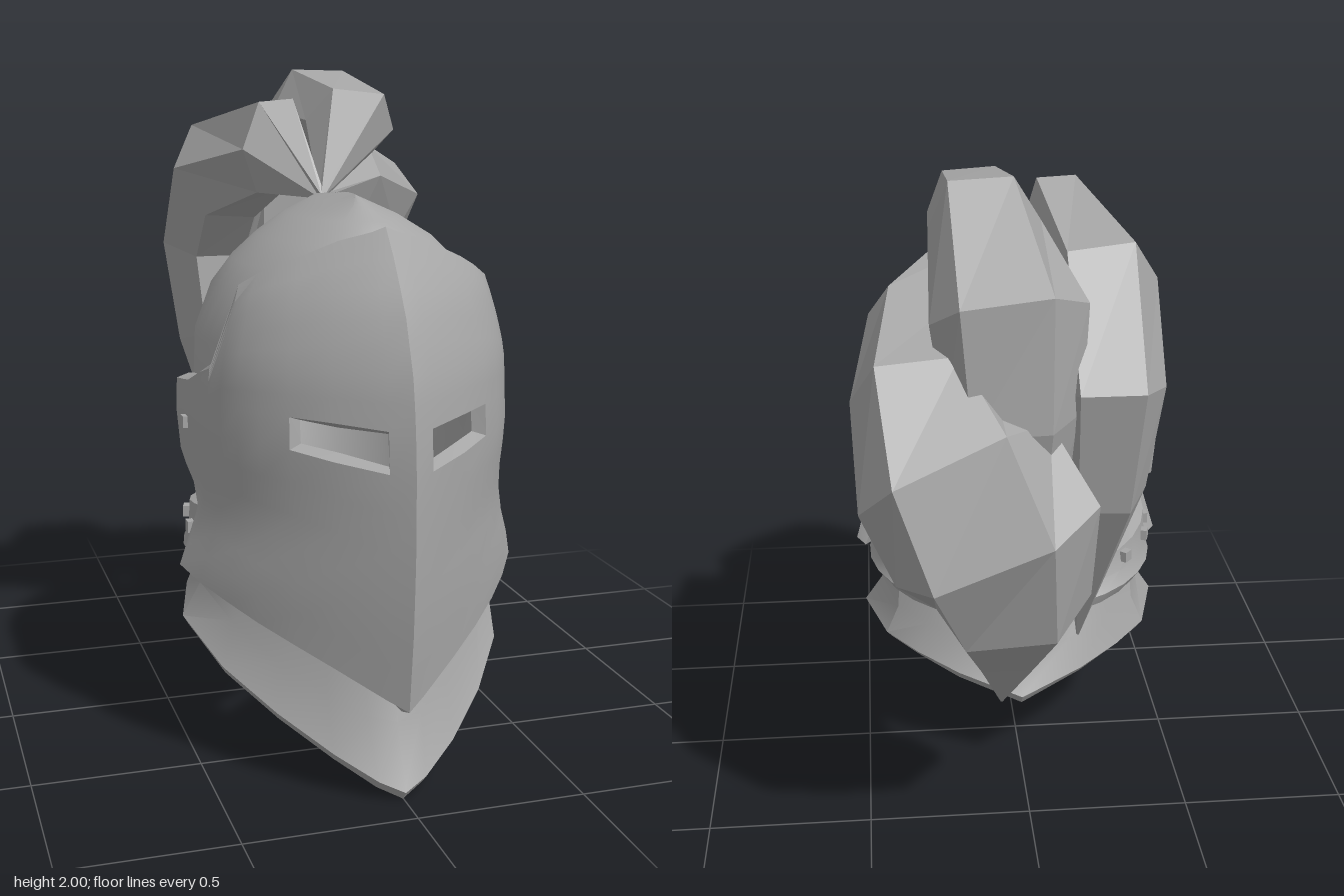
import * as THREE from 'three';
import { toCreasedNormals } from 'three/addons/utils/BufferGeometryUtils.js';

const steel = new THREE.MeshStandardMaterial({ color: 0xa6a6a6, side: THREE.DoubleSide });
steel.name = 'steel grey';

// Piecewise-linear lookup in a list of [key, value]
function lut(table, k) {
  if (k <= table[0][0]) return table[0][1];
  for (let i = 1; i < table.length; i++) {
    const [k0, v0] = table[i - 1], [k1, v1] = table[i];
    if (k <= k1) return v0 + (v1 - v0) * (k - k0) / (k1 - k0);
  }
  return table[table.length - 1][1];
}

// Plate from a grid of points (columns left to right, rows bottom to top),
// thickened inwards with a slanted rim along every open edge
function plate(cols, thickness, closed = false, skip = () => false) {
  const n = cols.length, m = cols[0].length, tris = [];
  const id = (i, j) => (i % n) * m + j;
  for (let i = 0; i < (closed ? n : n - 1); i++) {
    for (let j = 0; j < m - 1; j++) {
      if (skip(i, j)) continue;
      const a = id(i, j), b = id(i + 1, j), c = id(i + 1, j + 1), d = id(i, j + 1);
      tris.push([a, b, c], [a, c, d]);
    }
  }
  const geo = new THREE.BufferGeometry();
  const outer = cols.flat(2);
  geo.setAttribute('position', new THREE.Float32BufferAttribute(outer, 3));
  geo.setIndex(tris.flat());
  if (thickness > 0) {
    geo.computeVertexNormals();
    const count = n * m, all = tris.flat(), edges = new Set();
    const at = k => new THREE.Vector3().fromArray(outer, k * 3);
    const normal = k => new THREE.Vector3().fromBufferAttribute(geo.attributes.normal, k);
    const slant = Array.from({ length: count }, () => new THREE.Vector3());
    tris.forEach(t => t.forEach((a, k) => edges.add(a + '_' + t[(k + 1) % 3])));
    tris.forEach(([a, b, c]) => all.push(a + count, c + count, b + count));
    for (const e of edges) {
      const [a, b] = e.split('_').map(Number);
      if (edges.has(b + '_' + a)) continue;
      all.push(b, a, a + count, b, a + count, b + count);
      for (const k of [a, b]) slant[k].add(at(b).sub(at(a)).normalize().cross(normal(k)));
    }
    const inner = slant.flatMap((s, k) => at(k).addScaledVector(normal(k), -thickness)
      .addScaledVector(s.normalize(), 0.016).toArray());
    geo.setAttribute('position', new THREE.Float32BufferAttribute(outer.concat(inner), 3));
    geo.deleteAttribute('normal');
    geo.setIndex(all);
  }
  return toCreasedNormals(geo, 0.6);
}

// Visor: ridge depth, half width and plan roundness by height
const ridgeZ = [[0.27, 0.92], [0.5, 0.945], [0.7, 0.955], [1, 0.95], [1.2, 0.92], [1.37, 0.85], [1.5, 0.76], [1.59, 0.68]];
const visorW = [[0.27, 0.54], [0.57, 0.53], [0.7, 0.485], [0.8, 0.465], [1, 0.48], [1.2, 0.475], [1.3, 0.455], [1.42, 0.42], [1.5, 0.36], [1.59, 0.26]];
const roundness = [[0.5, 1.75], [0.9, 2.25]];
function visorPoint(t, y, side) {
  const z = 0.3 + t * (t > 0 ? lut(ridgeZ, y) - 0.3 : 0.65);
  const x = lut(visorW, y) * (1 - Math.pow(Math.max(t, 0), lut(roundness, y)));
  return [side * x, y, z];
}
function visorGeometry() {
  // Per column: bottom t, bottom y, t at the eye slit, top t, top y
  const half = [
    [1, 0.27, 1, 1, 1.59], [0.94, 0.3, 0.94, 0.94, 1.575], [0.8, 0.37, 0.8, 0.8, 1.55],
    [0.664, 0.425, 0.664, 0.664, 1.51], [0.53, 0.47, 0.55, 0.57, 1.485], [0.4, 0.51, 0.45, 0.47, 1.455],
    [0.25, 0.545, 0.35, 0.385, 1.42], [0.09, 0.57, 0.25, 0.27, 1.18], [0.115, 0.75, 0.13, 0.18, 1.16],
    [0, 0.805, 0, 0, 1.115], [-0.14, 0.835, -0.14, -0.14, 1.1], [-0.245, 0.87, -0.26, -0.245, 1.09],
  ];
  const column = ([tb, yb, ts, tt, yt], side) => {
    const low = Math.min(0.945 + 0.15 * (1 - ts), 0.995);
    const high = Math.min(1.065 + 0.08 * (1 - ts), 1.085, yt - 0.05);
    const pts = [];
    for (let k = 0; k <= 6; k++) pts.push(visorPoint(tb + (ts - tb) * k / 6, yb + (low - yb) * k / 6, side));
    for (let k = 0; k <= 7; k++) pts.push(visorPoint(ts + (tt - ts) * k / 7, high + (yt - high) * k / 7, side));
    return pts;
  };
  const left = half.map(h => column(h, 1));
  const right = half.slice(1).reverse().map(h => column(h, -1));
  const c = right.length; // ridge column
  const slit = (i, j) => j === 6 && [c + 1, c + 2, c - 2, c - 3].includes(i);
  return plate([...right, ...left], 0.04, false, slit);
}

// Skull: stacked oval rings closing on a ridge, open at the face
function skullGeometry() {
  // height, half width, back z, front z
  const rings = [
    [0.58, 0.43, -0.16, 0.82], [0.7, 0.43, -0.18, 0.83], [0.85, 0.435, -0.215, 0.83], [1.05, 0.445, -0.26, 0.83],
    [1.24, 0.435, -0.25, 0.8], [1.38, 0.385, -0.19, 0.75], [1.46, 0.325, -0.13, 0.7], [1.53, 0.25, -0.06, 0.65],
    [1.59, 0.155, 0.0, 0.55], [1.63, 0.065, 0.08, 0.47], [1.655, 0, 0.33, 0.41],
  ];
  const N = 40, cols = [];
  for (let i = 0; i < N; i++) {
    const a = i / N * Math.PI * 2;
    cols.push(rings.map(([y, w, b, f]) => [w * Math.sin(a), y, (f + b) / 2 + (f - b) / 2 * Math.cos(a)]));
  }
  const face = (i, j) => j < 5 && Math.cos((i + 0.5) / N * Math.PI * 2) > 0.6;
  return plate(cols, 0, true, face);
}

// Neck guard: flared collar, rounded in plan and dipping at front and back
function collarGeometry() {
  const rows = [
    [[0, 0.02, 0.9], [0.07, 0.05, 0.875], [0.18, 0.115, 0.8], [0.31, 0.2, 0.67], [0.43, 0.29, 0.5], [0.5, 0.375, 0.27], [0.43, 0.385, 0], [0.33, 0.36, -0.1], [0.2, 0.32, -0.18], [0, 0.265, -0.26]],
    [[0, 0.2, 0.82], [0.08, 0.22, 0.8], [0.18, 0.27, 0.73], [0.29, 0.33, 0.61], [0.39, 0.41, 0.45], [0.44, 0.47, 0.25], [0.39, 0.48, 0], [0.29, 0.46, -0.09], [0.17, 0.42, -0.15], [0, 0.37, -0.19]],
    [[0, 0.44, 0.78], [0.08, 0.46, 0.76], [0.17, 0.51, 0.69], [0.27, 0.56, 0.57], [0.36, 0.6, 0.44], [0.42, 0.61, 0.25], [0.38, 0.61, 0.02], [0.28, 0.6, -0.06], [0.16, 0.6, -0.1], [0, 0.6, -0.13]],
  ];
  const half = rows[0].map((_, i) => rows.map(r => r[i]));
  const mirrored = half.slice(1, -1).reverse().map(c => c.map(([x, y, z]) => [-x, y, z]));
  return plate([...half, ...mirrored], 0.03, true);
}

// Riveted band round the back of the neck
function bandGeometry() {
  const cols = [], a0 = 1.3, N = 18;
  for (let i = 0; i <= N; i++) {
    const a = a0 + (Math.PI * 2 - 2 * a0) * i / N, s = Math.sin(a), c = Math.cos(a);
    cols.push([
      [0.48 * s, 0.575, 0.25 + 0.5 * c],
      [0.465 * s, 0.61, 0.25 + 0.46 * c],
      [0.46 * s, 0.725 + 0.065 * c, 0.25 + 0.44 * c],
    ]);
  }
  return plate(cols, 0.035);
}

// Plume feather: faceted six-sided loft through [x, y, z, half width, half depth]
function featherGeometry(path) {
  const pts = path.map(p => new THREE.Vector3(p[0], p[1], p[2]));
  const outline = [[-1, 0], [-0.5, 1], [0.65, 1], [1, 0], [0.5, -1], [-0.5, -1]];
  const n = outline.length, pos = [], idx = [];
  path.forEach(([, , , w, h], k) => {
    const dir = pts[Math.min(k + 1, pts.length - 1)].clone().sub(pts[Math.max(k - 1, 0)]).normalize();
    const side = new THREE.Vector3(1, 0, 0).addScaledVector(dir, -dir.x).normalize();
    const up = side.clone().cross(dir);
    outline.forEach(([u, v]) => pos.push(...pts[k].clone().addScaledVector(side, u * w).addScaledVector(up, v * h).toArray()));
    if (k === 0) return;
    for (let i = 0; i < n; i++) {
      const a = (k - 1) * n + i, b = (k - 1) * n + (i + 1) % n;
      idx.push(a, b, b + n, a, b + n, a + n);
    }
  });
  const geo = new THREE.BufferGeometry();
  geo.setAttribute('position', new THREE.Float32BufferAttribute(pos, 3));
  geo.setIndex(idx);
  const flat = geo.toNonIndexed();
  flat.computeVertexNormals();
  return flat;
}

export function createModel() {
  const model = new THREE.Group();
  model.name = 'plumedHelmet';
  const add = (name, geo) => {
    const mesh = new THREE.Mesh(geo, steel);
    mesh.name = name;
    model.add(mesh);
    return mesh;
  };
  add('skull', skullGeometry());
  add('visor', visorGeometry());
  add('neckGuard', collarGeometry());
  add('neckBand', bandGeometry());

  // Rivets on the band and the visor pivots
  const rivet = new THREE.BoxGeometry(0.035, 0.035, 0.03);
  for (const side of [-1, 1]) {
    for (const [z, y] of [[0.26, 0.655], [0.11, 0.66], [-0.04, 0.655], [-0.155, 0.64]]) {
      const c = (z - 0.25) / 0.455, s = Math.sqrt(1 - c * c);
      const r = add('bandRivet', rivet);
      r.position.set(side * 0.466 * s, y, z);
      r.rotation.y = Math.atan2(side * s / 0.46, c / 0.45);
    }
    const pivot = add('pivotRivet', rivet);
    pivot.position.set(side * 0.478, 0.985, 0.275);
    pivot.rotation.y = side * Math.PI / 2;
  }

  // Plume of three curling feathers
  add('centreFeather', featherGeometry([
    [0, 1.62, 0.08, 0.01, 0.01], [0.13, 1.83, -0.05, 0.14, 0.12], [0.12, 1.86, -0.37, 0.16, 0.14],
    [0.07, 1.67, -0.61, 0.22, 0.14], [0.06, 1.38, -0.62, 0.19, 0.13], [0.05, 1.02, -0.55, 0.13, 0.11],
    [0.03, 0.67, -0.52, 0.005, 0.005],
  ]));
  add('rightFeather', featherGeometry([
    [0, 1.62, 0.08, 0.01, 0.01], [-0.13, 1.77, -0.02, 0.12, 0.14], [-0.21, 1.67, -0.36, 0.17, 0.17],
    [-0.22, 1.42, -0.53, 0.16, 0.16], [-0.21, 1.1, -0.48, 0.13, 0.13], [-0.17, 0.52, -0.31, 0.005, 0.005],
  ]));
  add('leftFeather', featherGeometry([
    [0, 1.62, 0.08, 0.01, 0.01], [0.14, 1.66, -0.1, 0.11, 0.1], [0.28, 1.56, -0.34, 0.18, 0.12],
    [0.31, 1.44, -0.58, 0.2, 0.16], [0.23, 1.27, -0.72, 0.29, 0.16], [0.12, 1.07, -0.8, 0.3, 0.15],
    [0.07, 0.86, -0.72, 0.22, 0.15], [0.07, 0.62, -0.54, 0.13, 0.09], [0.08, 0.35, -0.41, 0.005, 0.005],
  ]));
  return model;
}
